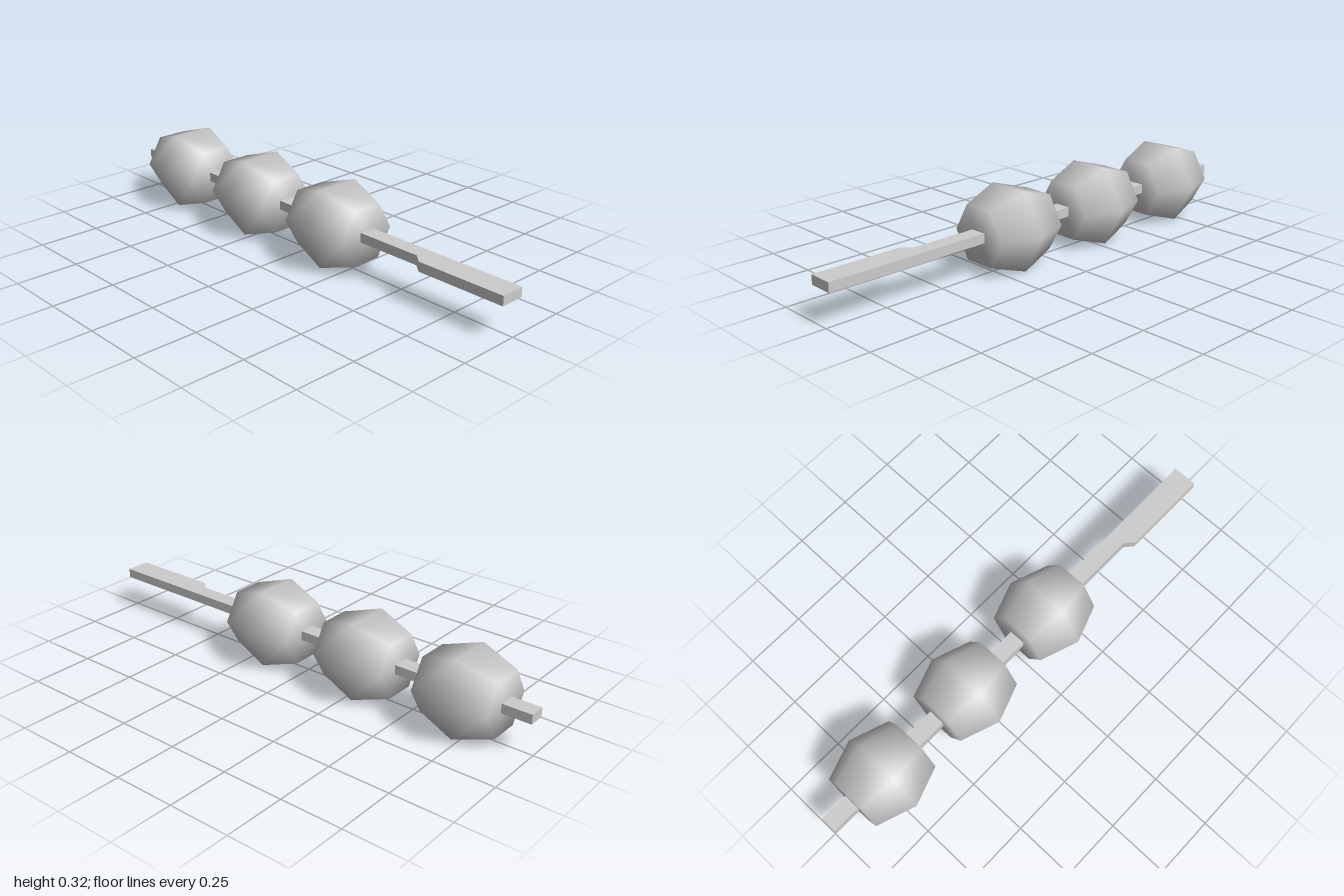
import * as THREE from 'three';

const material = new THREE.MeshStandardMaterial({ color: 0xcccccc });
const AXIS_Y = 0.158;

// Six-sided dumpling, lathed around y then laid along the x axis
function makeDumpling() {
  const profile = [[0, -0.155], [0.127, -0.155], [0.182, 0], [0.127, 0.155], [0, 0.155]]
    .map(([r, h]) => new THREE.Vector2(r, h));
  return new THREE.LatheGeometry(profile, 6).rotateZ(Math.PI / 2);
}

// Flat skewer with a wider paddle handle, outlined in x/z and extruded in y
function makeSkewer() {
  const thickness = 0.038;
  const outline = [[-1, -0.033], [1, -0.033], [1, 0.067], [0.635, 0.067], [0.595, 0.033], [-1, 0.033]]
    .map(([x, z]) => new THREE.Vector2(x, z));
  return new THREE.ExtrudeGeometry(new THREE.Shape(outline), { depth: thickness, bevelEnabled: false })
    .rotateX(Math.PI / 2)
    .translate(0, AXIS_Y + thickness / 2, 0);
}

export function createModel() {
  const model = new THREE.Group();
  model.name = 'skeweredDumplings';

  const skewer = new THREE.Mesh(makeSkewer(), material);
  skewer.name = 'skewer';
  model.add(skewer);

  // Three dumplings threaded on the skewer
  const dumpling = makeDumpling();
  [-0.725, -0.28, 0.165].forEach((x, i) => {
    const mesh = new THREE.Mesh(dumpling, material);
    mesh.name = `dumpling${i + 1}`;
    mesh.position.set(x, AXIS_Y, 0);
    model.add(mesh);
  });
  return model;
}
